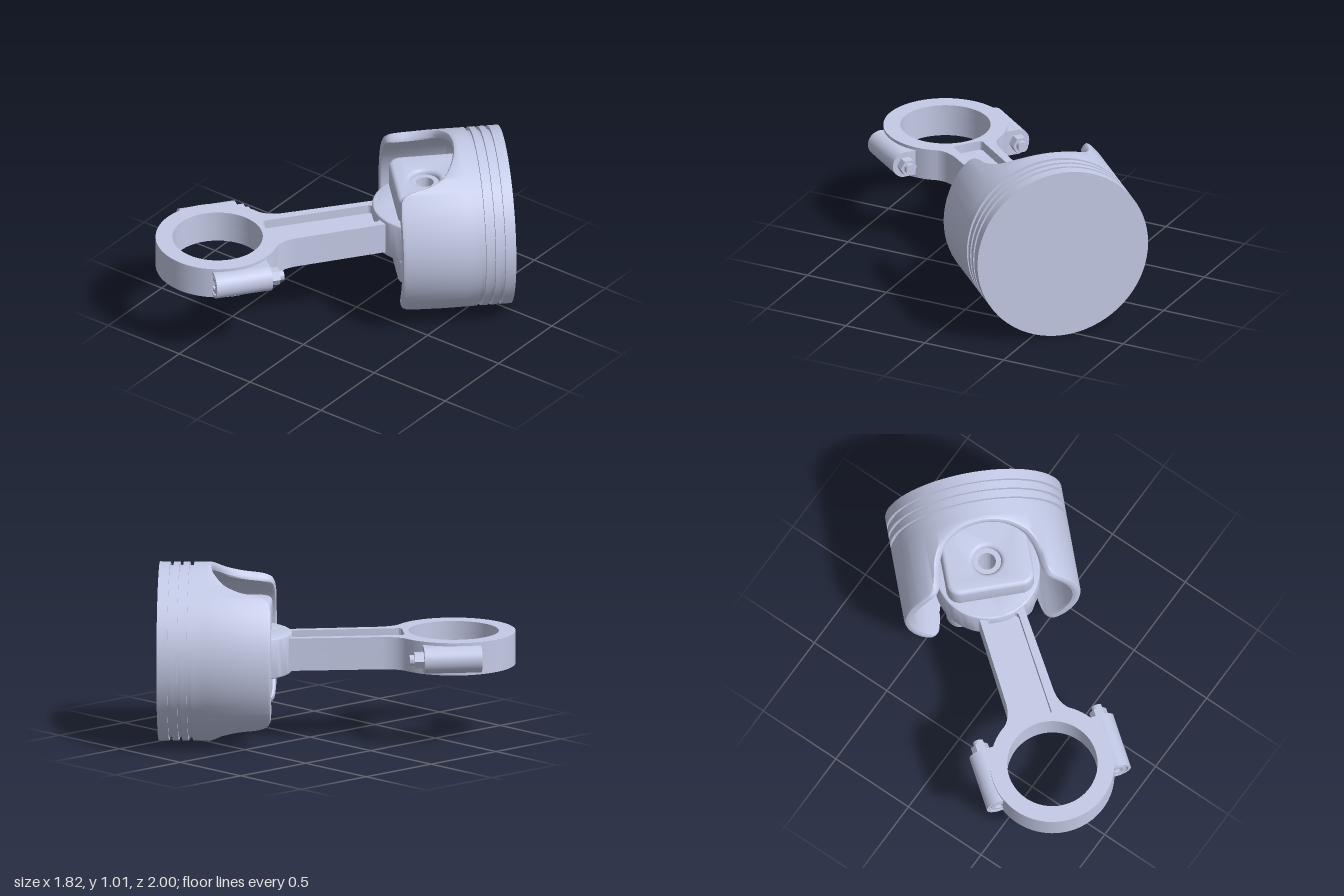
import * as THREE from 'three';
import { toCreasedNormals } from 'three/addons/utils/BufferGeometryUtils.js';

const steel = new THREE.MeshStandardMaterial({ color: 0xcad1ee });
steel.name = 'pale steel';

function add(group, name, geometry, x = 0, y = 0, z = 0) {
  const mesh = new THREE.Mesh(toCreasedNormals(geometry, 0.6), steel);
  mesh.name = name;
  mesh.position.set(x, y, z);
  group.add(mesh);
  return mesh;
}

const lathe = (points, segments = 48) =>
  new THREE.LatheGeometry(points.map(([r, h]) => new THREE.Vector2(r, h)), segments);

// Flat plate lying in the xz plane, centred on y = 0; shape y becomes z
function plate(shape, thickness, bevel = 0) {
  const depth = thickness - 2 * bevel;
  return new THREE.ExtrudeGeometry(shape, {
    depth, curveSegments: 32, bevelEnabled: bevel > 0,
    bevelThickness: bevel, bevelSize: bevel, bevelSegments: 4,
  }).translate(0, 0, -depth / 2).rotateX(Math.PI / 2);
}

function roundedRect(x0, x1, y0, y1, r, Type = THREE.Shape) {
  const s = new Type();
  s.absarc(x1 - r, y1 - r, r, 0, Math.PI / 2);
  s.absarc(x0 + r, y1 - r, r, Math.PI / 2, Math.PI);
  s.absarc(x0 + r, y0 + r, r, Math.PI, Math.PI * 1.5);
  s.absarc(x1 - r, y0 + r, r, Math.PI * 1.5, Math.PI * 2);
  s.closePath();
  return s;
}

const circle = (x, y, r, Type = THREE.Path) => new Type().absarc(x, y, r, 0, Math.PI * 2);

const R = 0.505, INNER = 0.45, WALL_START = 0.27;

// Skirt wall: a rounded wall section swept round, its height following the side arches
function skirtGeometry() {
  const edge = new THREE.SplineCurve([
    [0.428, 0.645], [0.4, 0.643], [0.36, 0.635], [0.335, 0.61], [0.32, 0.56], [0.307, 0.49],
    [0.28, 0.42], [0.237, 0.364], [0.15, 0.318], [0.07, 0.3], [0, 0.295],
  ].map(([s, t]) => new THREE.Vector2(s, t))).getPoints(40);
  const quarter = [];
  for (let i = 0; i < 6; i++) quarter.push([i * 0.09, 0.645]);
  edge.forEach((p) => quarter.push([Math.acos(Math.max(0, p.x) / R), p.y]));
  const half = [...quarter, ...quarter.slice(0, -1).reverse().map(([a, t]) => [Math.PI - a, t])];
  const columns = [...half, ...half.slice(1).map(([a, t]) => [Math.PI + a, t])];

  const pos = [], index = [], n = 9;
  columns.forEach(([a, t]) => {
    const section = [
      [R, WALL_START], [R, t - 0.02], [R - 0.006, t - 0.006], [R - 0.02, t],
      [INNER + 0.02, t], [INNER + 0.006, t - 0.006], [INNER, t - 0.02],
      [INNER, WALL_START], [R, WALL_START],
    ];
    section.forEach(([r, z]) => pos.push(r * Math.cos(a), r * Math.sin(a), z));
  });
  for (let i = 0; i < columns.length - 1; i++) {
    for (let j = 0; j < n - 1; j++) {
      const a = i * n + j, b = a + n;
      index.push(a, b, b + 1, a, b + 1, a + 1);
    }
  }
  const g = new THREE.BufferGeometry();
  g.setAttribute('position', new THREE.Float32BufferAttribute(pos, 3));
  g.setIndex(index);
  g.computeVertexNormals();
  return g;
}

// Piston, local z runs from the crown to the open end
function createPiston() {
  const piston = new THREE.Group();
  piston.name = 'piston';

  // Crown with three ring grooves and a filleted underside
  const profile = [[0, 0], [R, 0]];
  [[0.06, 0.08], [0.115, 0.135], [0.17, 0.195]].forEach(([a, b]) =>
    profile.push([R, a], [R - 0.02, a], [R - 0.02, b], [R, b]));
  profile.push([R, WALL_START], [INNER, WALL_START], [0.443, 0.22], [0.42, 0.18], [0.37, 0.158], [0, 0.15]);
  add(piston, 'crown', lathe(profile, 72).rotateX(Math.PI / 2));
  add(piston, 'skirt', skirtGeometry());

  // Pin bosses either side of the rod
  const b = 0.025;
  for (const side of [1, -1]) {
    const shape = roundedRect(-0.25 + b, 0.25 - b, 0.12, 0.63 - b, 0.05);
    shape.holes.push(circle(0, 0.45, 0.105));
    add(piston, 'pinBoss', plate(shape, 0.162, b), 0, side * 0.199, 0);
  }

  // Hollow pin
  add(piston, 'pin', lathe([[0.05, -0.25], [0.083, -0.25], [0.083, 0.25], [0.05, 0.25], [0.05, -0.25]]), 0, 0, 0.45);
  return piston;
}

// Rod, local x runs from the big end to the small end
function createRod() {
  const rod = new THREE.Group();
  rod.name = 'connectingRod';
  const thickness = 0.186, web = 0.08, layer = (thickness - web) / 2;

  const outline = () => {
    const s = new THREE.Shape();
    s.moveTo(0.98, -0.13);
    s.lineTo(0.98, 0.13);
    s.lineTo(0.42, 0.14);
    s.quadraticCurveTo(0.335, 0.145, 0.293, 0.191);
    s.absarc(0, 0, 0.35, 0.578, Math.PI * 2 - 0.578);
    s.quadraticCurveTo(0.335, -0.145, 0.42, -0.14);
    s.closePath();
    s.holes.push(circle(0, 0, 0.255));
    return s;
  };
  add(rod, 'bigEndAndWeb', plate(outline(), web));
  for (const side of [1, -1]) {
    const rim = outline();
    rim.holes.push(roundedRect(0.285, 0.925, -0.09, 0.09, 0.02, THREE.Path));
    add(rod, 'flange', plate(rim, layer), 0, side * (web + layer) / 2, 0);
  }

  // Small end around the pin
  const eye = circle(0, 0, 0.285, THREE.Shape);
  eye.holes.push(circle(0, 0, 0.095));
  add(rod, 'smallEnd', plate(eye, 0.23, 0.012), 1.213, 0, 0);

  // Clamp bolts on both sides of the big end
  const along = (g) => g.rotateZ(-Math.PI / 2);
  for (const side of [1, -1]) {
    const bolt = new THREE.Group();
    bolt.name = 'clampBolt';
    bolt.position.z = side * 0.35;
    add(bolt, 'boltHousing', along(lathe([[0, -0.09], [0.06, -0.09], [0.06, -0.122], [0.076, -0.122], [0.076, 0.205], [0, 0.205]], 32)));
    add(bolt, 'boltHead', along(lathe([[0, -0.1], [0.027, -0.1], [0.027, -0.12], [0.05, -0.12], [0.05, -0.085]], 24)));
    add(bolt, 'nut', along(new THREE.CylinderGeometry(0.05, 0.05, 0.055, 6)), 0.23, 0, 0);
    add(bolt, 'boltTip', along(new THREE.CylinderGeometry(0.03, 0.03, 0.09, 20)), 0.24, 0, 0);
    add(bolt, 'housingBridge', new THREE.BoxGeometry(0.3, 0.15, 0.075), 0.055, 0, -side * 0.0375);
    rod.add(bolt);
  }
  return rod;
}

export function createModel() {
  const model = new THREE.Group();
  model.name = 'pistonAndRod';

  const piston = createPiston();
  piston.position.set(0.5525, 0.505, -0.645);
  piston.rotation.y = -Math.PI / 4;

  const rod = createRod();
  rod.position.set(-0.5, 0.507, 0.64);
  rod.rotation.y = Math.atan2(0.965, 0.735);

  model.add(piston, rod);
  return model;
}
